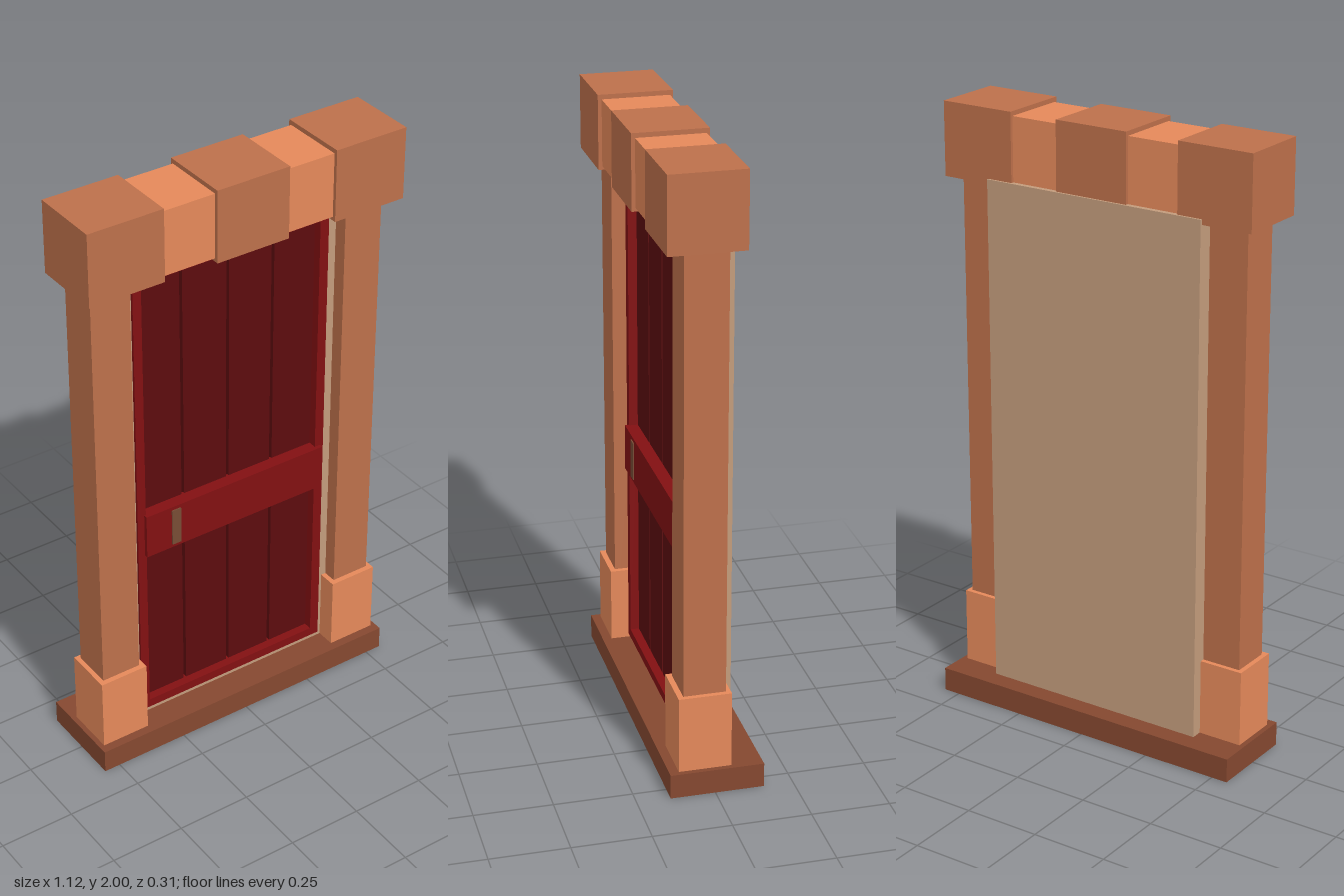
import * as THREE from 'three';

const material = (color) => new THREE.MeshStandardMaterial({ color, flatShading: true });

export function createModel() {
  const model = new THREE.Group();
  const stone = material(0xbd704b);
  const paleStone = material(0xe5895a);
  const darkStone = material(0x854830);
  const plaster = material(0xc39c7c);
  const red = material(0x821012);
  const darkRed = material(0x5c0c0e);
  const bronze = material(0x784c35);

  function add(name, geometry, mat) {
    const mesh = new THREE.Mesh(geometry, mat);
    mesh.name = name;
    model.add(mesh);
  }

  // Box given by its extents along each axis
  function block(name, mat, [x0, x1], [y0, y1], [z0, z1]) {
    const geometry = new THREE.BoxGeometry(x1 - x0, y1 - y0, z1 - z0);
    geometry.translate((x0 + x1) / 2, (y0 + y1) / 2, (z0 + z1) / 2);
    add(name, geometry, mat);
  }

  // Rectangular surround: outer and inner rectangles as [x0, x1, y0, y1]
  function surround(name, mat, outer, inner, [z0, z1]) {
    const trace = (path, [x0, x1, y0, y1]) =>
      path.moveTo(x0, y0).lineTo(x1, y0).lineTo(x1, y1).lineTo(x0, y1).closePath();
    const shape = trace(new THREE.Shape(), outer);
    shape.holes.push(trace(new THREE.Path(), inner));
    const geometry = new THREE.ExtrudeGeometry(shape, { depth: z1 - z0, bevelEnabled: false });
    add(name, geometry.translate(0, 0, z0), mat);
  }

  // Doorstep
  block('doorstep', darkStone, [-0.555, 0.555], [0, 0.08], [-0.156, 0.143]);

  // Pillars on wider base stones
  for (const side of [-1, 1]) {
    const label = side > 0 ? 'left' : 'right';
    const span = (a, b) => (side > 0 ? [a, b] : [-b, -a]);
    block(label + 'Pillar', stone, span(0.387, 0.522), [0.08, 1.78], [-0.04, 0.095]);
    block(label + 'PillarBase', paleStone, span(0.37, 0.538), [0.08, 0.332], [-0.055, 0.113]);
  }

  // Lintel: three large stones with two smaller ones between
  for (const x of [[-0.56, -0.304], [-0.122, 0.133], [0.302, 0.558]]) {
    block('lintelStone', stone, x, [1.76, 2], [-0.085, 0.154]);
  }
  for (const x of [[-0.304, -0.122], [0.133, 0.302]]) {
    block('lintelInfill', paleStone, x, [1.772, 1.985], [-0.075, 0.142]);
  }

  // Slab closing the back, with a raised jamb around the door
  const doorEdge = [-0.355, 0.354, 0.1, 1.742];
  block('backSlab', plaster, [-0.39, 0.39], [0.08, 1.777], [-0.092, 0]);
  surround('jamb', plaster, [-0.39, 0.39, 0.08, 1.777], doorEdge, [0, 0.048]);

  // Door: frame, backing that shows in the grooves, and four recessed planks
  surround('doorFrame', red, doorEdge, [-0.325, 0.322, 0.13, 1.71], [0, 0.057]);
  block('doorBacking', red, [-0.325, 0.322], [0.13, 1.71], [0, 0.012]);
  const grooves = [-0.325, -0.168, 0.001, 0.167, 0.322];
  for (let i = 0; i < 4; i++) {
    const left = grooves[i] + (i > 0 ? 0.005 : 0);
    const right = grooves[i + 1] - (i < 3 ? 0.005 : 0);
    block('doorPlank', darkRed, [left, right], [0.13, 1.71], [0.005, 0.028]);
  }

  // Crossbar and handle plate
  block('crossbar', red, [-0.331, 0.342], [0.725, 0.879], [0.02, 0.07]);
  block('handle', bronze, [-0.238, -0.205], [0.737, 0.867], [0.06, 0.074]);

  return model;
}
